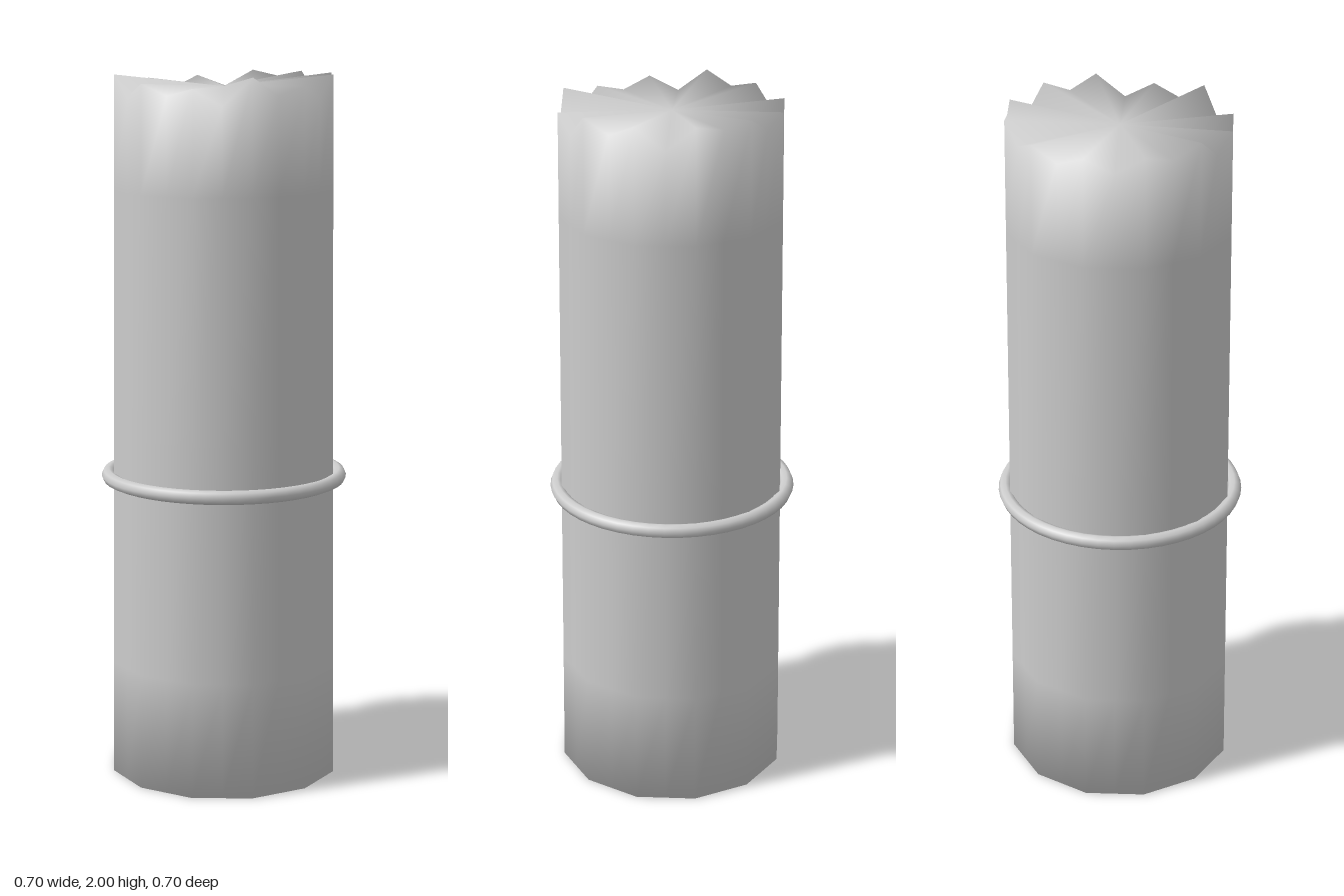
import * as THREE from 'three';

const SEG = 24;
// broken rim heights, every 15 degrees from +x towards +z
const RIM = [
  1.965, 2.0, 1.935, 1.975, 1.95, 2.0, 1.925, 1.97, 1.95, 1.98, 1.94, 2.0,
  1.965, 1.985, 1.94, 1.98, 1.95, 1.985, 1.955, 2.0, 1.985, 2.0, 1.935, 2.0,
];

// twelve-sided outline: corners on odd steps, flat-side midpoints on even steps
function outlinePoint(i, y) {
  const apothem = 0.318 - 0.0085 * y;
  const r = i % 2 ? apothem / Math.cos(Math.PI / 12) : apothem;
  const a = (i / SEG) * Math.PI * 2;
  return [r * Math.cos(a), y, r * Math.sin(a)];
}

// closed shaft with shared vertices, so shading rolls softly over both ends
function shaftGeometry() {
  const rings = [() => 0, () => 0.33, () => 1.0, () => 1.68, (i) => RIM[i]];
  const pos = [];
  const index = [];
  for (const height of rings) {
    for (let i = 0; i < SEG; i++) pos.push(...outlinePoint(i, height(i)));
  }
  const bottom = rings.length * SEG;
  const top = bottom + 1;
  pos.push(0, 0, 0, 0, 1.965, 0);
  const last = (rings.length - 1) * SEG;
  for (let i = 0; i < SEG; i++) {
    const j = (i + 1) % SEG;
    for (let k = 0; k < last; k += SEG) {
      index.push(k + i, k + SEG + i, k + j, k + j, k + SEG + i, k + SEG + j);
    }
    index.push(bottom, i, j);
    index.push(top, last + j, last + i);
  }
  const geo = new THREE.BufferGeometry();
  geo.setAttribute('position', new THREE.Float32BufferAttribute(pos, 3));
  geo.setIndex(index);
  geo.computeVertexNormals();
  return geo;
}

export function createModel() {
  const group = new THREE.Group();
  group.name = 'brokenColumn';
  const material = new THREE.MeshStandardMaterial({ color: 0xcccccc });

  // tapered shaft with a jagged, broken top
  const shaft = new THREE.Mesh(shaftGeometry(), material);
  shaft.name = 'shaft';

  // round band around the shaft
  const band = new THREE.Mesh(new THREE.TorusGeometry(0.33, 0.02, 8, 48), material);
  band.name = 'band';
  band.rotation.x = Math.PI / 2;
  band.position.y = 0.865;

  group.add(shaft, band);
  return group;
}
